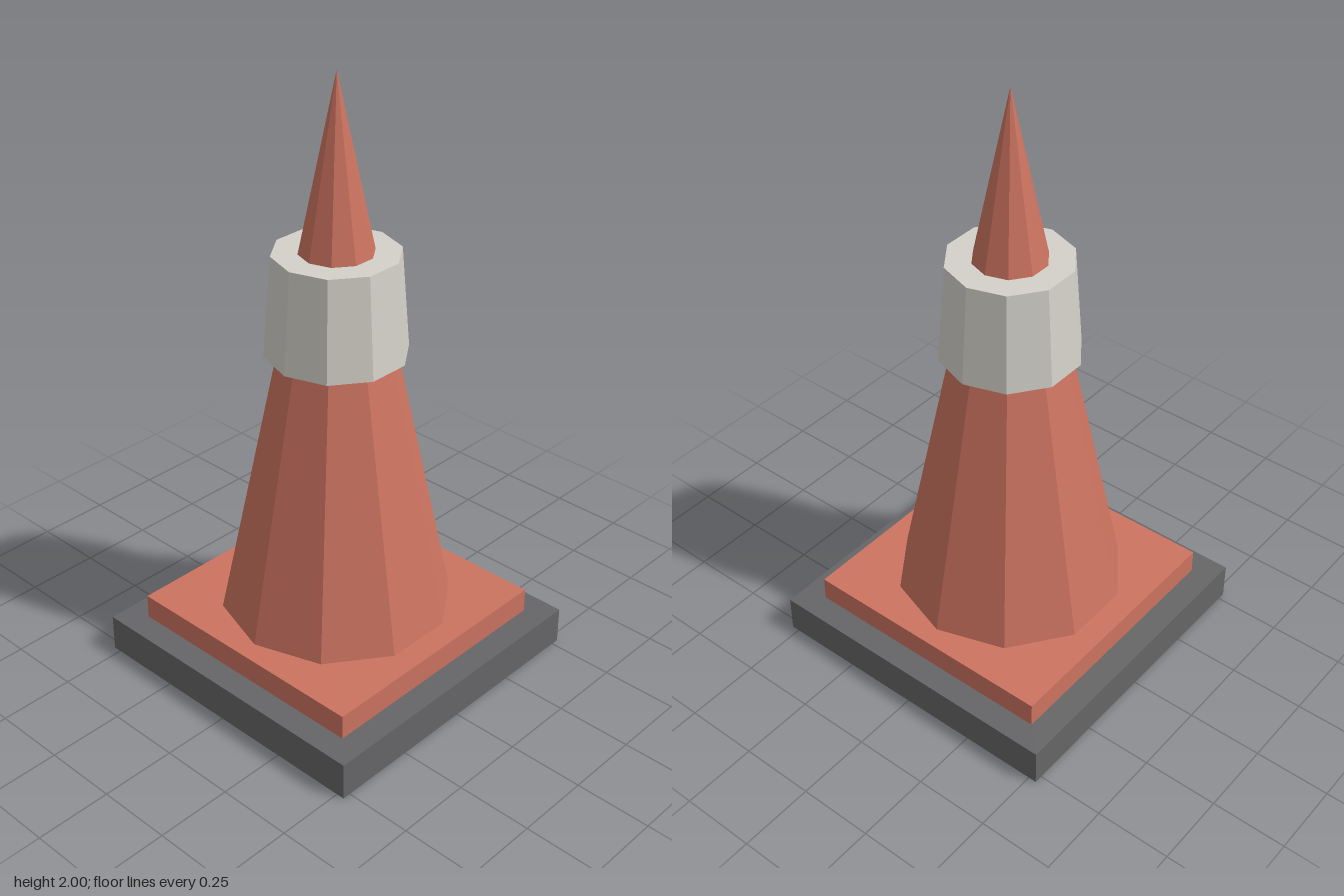
import * as THREE from 'three';

const material = (name, color) => {
  const m = new THREE.MeshStandardMaterial({ color, flatShading: true });
  m.name = name;
  return m;
};

export function createModel() {
  const orange = material('orange', 0xcc7360);
  const white = material('offWhite', 0xd4d1c9);
  const grey = material('darkGrey', 0x666668);
  const group = new THREE.Group();
  group.name = 'trafficCone';

  const add = (name, geometry, mat, bottom, top) => {
    const mesh = new THREE.Mesh(geometry, mat);
    mesh.name = name;
    mesh.position.y = (bottom + top) / 2;
    group.add(mesh);
  };
  const slab = (name, width, bottom, top, mat) =>
    add(name, new THREE.BoxGeometry(width, top - bottom, width), mat, bottom, top);
  // Ten-sided tapered part with a corner on the x axis
  const taper = (name, geometry, bottom, top, mat) =>
    add(name, geometry.rotateY(Math.PI / 2), mat, bottom, top);

  // Stepped square foot
  slab('rubberBase', 1.054, 0, 0.127, grey);
  slab('basePlate', 0.885, 0.127, 0.21, orange);

  // Pointed body
  taper('coneBody', new THREE.ConeGeometry(0.379, 1.79, 10), 0.21, 2, orange);

  // Raised band around the upper body
  taper('band', new THREE.CylinderGeometry(0.2, 0.226, 0.33, 10), 1.115, 1.445, white);

  return group;
}
